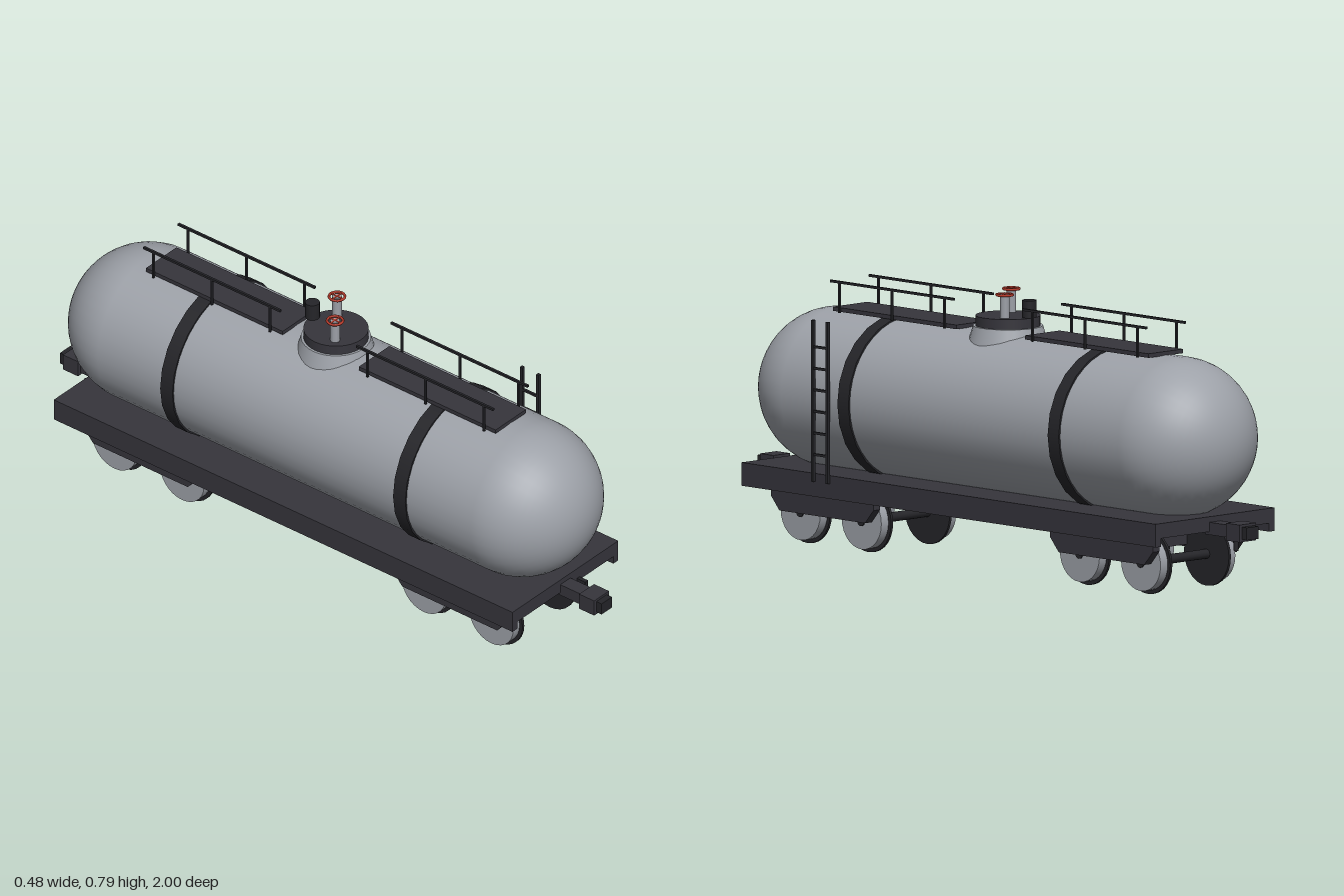
import * as THREE from 'three';

const mat = (name, color) => Object.assign(new THREE.MeshStandardMaterial({ color }), { name });

export function createModel() {
  const root = new THREE.Group();
  root.name = 'tankWagon';
  const model = new THREE.Group();
  model.name = 'wagonBody';
  model.position.x = -0.004; // the ladder sticks out on one side
  root.add(model);

  const silver = mat('silverPaint', 0x9da1a8);
  const dark = mat('darkFrame', 0x36353c);
  const black = mat('blackIron', 0x252529);
  const red = mat('redValve', 0xb53a2a);

  const add = (parent, name, geo, material, x = 0, y = 0, z = 0) => {
    const m = new THREE.Mesh(geo, material);
    m.name = name;
    m.position.set(x, y, z);
    parent.add(m);
    return m;
  };
  const box = (p, name, material, w, h, d, x, y, z) =>
    add(p, name, new THREE.BoxGeometry(w, h, d), material, x, y, z);
  const cyl = (p, name, material, r, h, x, y, z, seg = 16, rBottom = r) =>
    add(p, name, new THREE.CylinderGeometry(r, rBottom, h, seg), material, x, y, z);

  // Tank with rounded ends and two straps
  const R = 0.232, CY = 0.438;
  add(model, 'tank', new THREE.CapsuleGeometry(R, 1.378, 16, 40).rotateX(Math.PI / 2), silver, 0, CY, 0);
  for (const z of [-0.43, 0.43])
    add(model, 'tankStrap', new THREE.CylinderGeometry(0.238, 0.238, 0.045, 24).rotateX(Math.PI / 2), black, 0, CY, z);

  // Filling dome, lid, valves and vent
  cyl(model, 'domeCollar', silver, 0.1, 0.07, 0, 0.653, 0, 32, 0.12);
  cyl(model, 'domeLid', dark, 0.093, 0.03, 0, 0.702, 0, 32);
  for (const s of [-1, 1]) {
    const valve = new THREE.Group();
    valve.name = 'valve';
    valve.position.set(s * 0.049, 0.715, -s * 0.037);
    cyl(valve, 'valveStem', silver, 0.014, 0.07, 0, 0.035, 0, 10);
    add(valve, 'valveWheel', new THREE.TorusGeometry(0.023, 0.004, 6, 16).rotateX(Math.PI / 2), red, 0, 0.069, 0);
    box(valve, 'valveSpoke', red, 0.046, 0.004, 0.005, 0, 0.069, 0);
    box(valve, 'valveSpoke', red, 0.005, 0.004, 0.046, 0, 0.069, 0);
    model.add(valve);
  }
  cyl(model, 'vent', black, 0.021, 0.05, 0, 0.744, -0.087);

  // Walkways with handrails
  for (const s of [-1, 1]) {
    box(model, 'walkway', dark, 0.136, 0.012, 0.505, 0, 0.674, s * 0.393);
    for (const x of [-0.077, 0.077]) {
      box(model, 'handrail', black, 0.007, 0.007, 0.505, x, 0.755, s * 0.393);
      for (const z of [0.18, 0.395, 0.61])
        box(model, 'railPost', black, 0.006, 0.09, 0.006, x, 0.712, s * z);
    }
  }

  // Ladder on the left side
  for (const z of [0.489, 0.549])
    box(model, 'ladderRail', black, 0.01, 0.465, 0.009, 0.24, 0.437, z);
  for (let i = 0; i < 6; i++)
    box(model, 'ladderRung', black, 0.007, 0.007, 0.06, 0.24, 0.283 + i * 0.062, 0.519);

  // Underframe
  box(model, 'deck', dark, 0.472, 0.043, 1.694, 0, 0.2065, 0);
  for (const x of [-0.225, 0.225])
    box(model, 'sideSill', dark, 0.022, 0.03, 1.694, x, 0.176, 0);
  cyl(model, 'drainValve', black, 0.026, 0.03, 0, 0.173, 0);

  // Couplers and brake hoses, the same at both ends
  for (const s of [1, -1]) {
    const end = new THREE.Group();
    end.name = 'wagonEnd';
    end.rotation.y = s > 0 ? 0 : Math.PI;
    box(end, 'couplerShank', dark, 0.045, 0.036, 0.12, 0, 0.194, 0.89);
    box(end, 'couplerHead', dark, 0.066, 0.05, 0.055, 0, 0.194, 0.953);
    box(end, 'couplerFace', black, 0.046, 0.036, 0.02, 0, 0.194, 0.99);
    cyl(end, 'brakeHose', black, 0.007, 0.07, 0.058, 0.16, 0.873, 8);
    box(end, 'hoseBracket', black, 0.012, 0.01, 0.04, 0.058, 0.19, 0.857);
    model.add(end);
  }

  // Bogies
  const profile = new THREE.Shape([
    [-0.21, 0.17], [-0.21, 0.135], [-0.175, 0.095], [0.175, 0.095], [0.21, 0.135], [0.21, 0.17],
  ].map(([z, y]) => new THREE.Vector2(z, y)));
  const sideGeo = new THREE.ExtrudeGeometry(profile, { depth: 0.026, bevelEnabled: false })
    .translate(0, 0, -0.013).rotateY(Math.PI / 2);
  const disc = (r, w, seg) => new THREE.CylinderGeometry(r, r, w, seg).rotateZ(Math.PI / 2);
  for (const s of [-1, 1]) {
    const bogie = new THREE.Group();
    bogie.name = 'bogie';
    bogie.position.z = s * 0.571;
    box(bogie, 'bolster', dark, 0.32, 0.056, 0.09, 0, 0.139, 0);
    box(bogie, 'pivotPlate', dark, 0.15, 0.02, 0.12, 0, 0.177, 0);
    for (const x of [-0.17, 0.17]) add(bogie, 'bogieSideFrame', sideGeo, dark, x, 0, 0);
    for (const z of [-0.125, 0.125]) {
      add(bogie, 'axle', disc(0.014, 0.304, 12), black, 0, 0.092, z);
      for (const x of [-1, 1]) {
        add(bogie, 'wheel', disc(0.081, 0.03, 28), silver, x * 0.133, 0.092, z);
        add(bogie, 'wheelFlange', disc(0.092, 0.008, 28), black, x * 0.116, 0.092, z);
      }
    }
    model.add(bogie);
  }
  return root;
}
